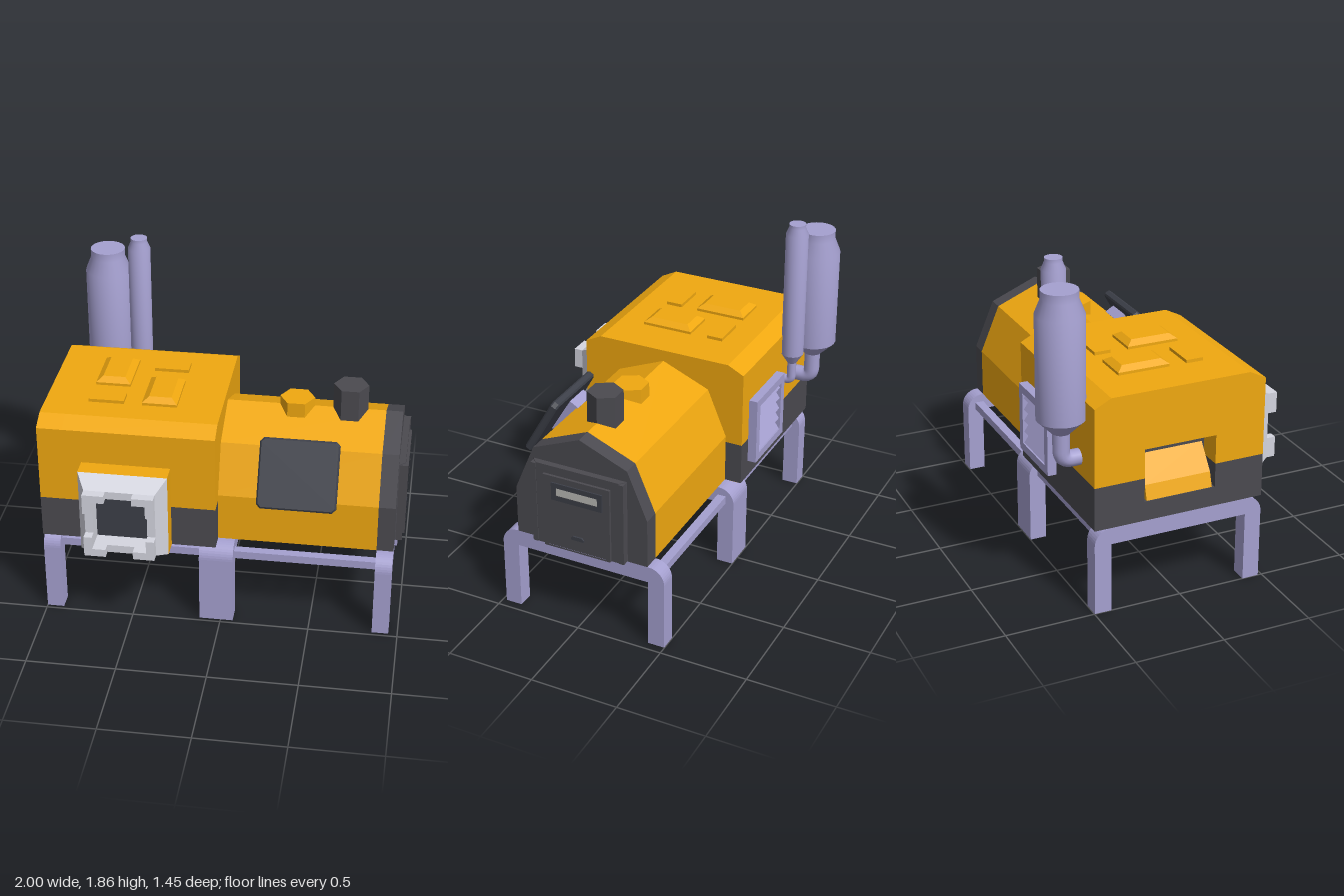
import * as THREE from 'three';
import { toCreasedNormals } from 'three/addons/utils/BufferGeometryUtils.js';

const mat = (color, extra = {}) => new THREE.MeshStandardMaterial({ color, ...extra });
const ZC = -0.01; // centre line of the body

export function createModel() {
  const root = new THREE.Group();
  const orange = mat(0xf0a810, { flatShading: true });
  const dark = mat(0x4b4a50, { flatShading: true });
  const black = mat(0x3c3f48, { flatShading: true });
  const steel = mat(0xa5a0d0, { flatShading: true });
  const steelSmooth = mat(0xa5a0d0);
  const pale = mat(0xd5d6e0, { flatShading: true });

  const add = (name, geo, material, x = 0, y = 0, z = 0, parent = root) => {
    const m = new THREE.Mesh(geo, material);
    m.name = name;
    m.position.set(x, y, z);
    parent.add(m);
    return m;
  };
  // Box given by its limits
  const box = (name, material, x0, x1, y0, y1, z0, z1, parent = root) =>
    add(name, new THREE.BoxGeometry(x1 - x0, y1 - y0, z1 - z0), material,
      (x0 + x1) / 2, (y0 + y1) / 2, (z0 + z1) / 2, parent);
  const shapeOf = (pts) => new THREE.Shape(pts.map(([x, y]) => new THREE.Vector2(x, y)));
  // Shape swept along x
  const sweepShape = (name, material, shape, x0, x1, z) => {
    const g = new THREE.ExtrudeGeometry(shape, { depth: x1 - x0, bevelEnabled: false, curveSegments: 5 });
    g.rotateY(Math.PI / 2);
    return add(name, g, material, x0, 0, z);
  };
  // [z, y] outline swept along x, with an optional hole
  const sweepX = (name, material, pts, x0, x1, z = ZC, hole = null) => {
    const flip = (list) => list.map(([pz, py]) => [-pz, py]);
    const shape = shapeOf(flip(pts));
    if (hole) shape.holes.push(shapeOf(flip(hole)));
    return sweepShape(name, material, shape, x0, x1, z);
  };
  // Box whose top face is scaled
  const taper = (w, h, d, sx, sz) => {
    const g = new THREE.BoxGeometry(w, h, d);
    const p = g.attributes.position;
    for (let i = 0; i < p.count; i++) {
      if (p.getY(i) > 0) { p.setX(i, p.getX(i) * sx); p.setZ(i, p.getZ(i) * sz); }
    }
    g.computeVertexNormals();
    return g;
  };
  const rect = (z, y0, y1) => [[-z, y0], [z, y0], [z, y1], [-z, y1]];

  // Main cabin: dark skirt and orange upper, with a recess cut in the outer end
  const H = 0.488, B = 0.735, R = 0.205;
  const roof = [[H, 1.175], [0.395, 1.222], [-0.395, 1.222], [-H, 1.175], [-H, B]];
  sweepX('cabinSkirt', dark, rect(H, 0.49, B), -0.86, -0.025);
  sweepX('cabinBody', orange, [[H, B], ...roof], -0.86, -0.025);
  sweepX('cabinEndSkirt', dark,
    [[H, 0.49], [H, B], [R, B], [R, 0.6], [-R, 0.6], [-R, B], [-H, B], [-H, 0.49]], -1, -0.86);
  sweepX('cabinEndBody', orange,
    [[H, B], ...roof, [-R, B], [-R, 0.9], [R, 0.9], [R, B]], -1, -0.86);
  box('recessBack', dark, -0.87, -0.858, 0.6, 0.9, ZC - R, ZC + R);
  const ramp = shapeOf([[-0.995, 0.6], [-0.865, 0.6], [-0.865, 0.82], [-0.97, 0.68]]);
  add('recessChute', new THREE.ExtrudeGeometry(ramp, { depth: 2 * R - 0.03, bevelEnabled: false }),
    orange, 0, 0, ZC - R + 0.015);
  box('cabinFloor', orange, -0.99, -0.03, 0.486, 0.492, ZC - 0.47, ZC + 0.47);

  // Roof hatches and plates
  for (const [x, z] of [[-0.6625, -0.107], [-0.3675, 0.088]]) {
    box('roofHatchBase', orange, x - 0.097, x + 0.097, 1.215, 1.237, z - 0.147, z + 0.147);
    add('roofHatch', taper(0.194, 0.025, 0.294, 0.64, 0.76), orange, x, 1.2495, z);
  }
  box('roofPlate', orange, -0.465, -0.27, 1.215, 1.24, -0.255, -0.163);
  box('roofPlate', orange, -0.76, -0.565, 1.215, 1.24, 0.138, 0.235);

  // Gabled wing with a dark end section
  const gable = [[0.39, 0.49], [0.39, 0.77], [0.276, 1.042], [0, 1.157],
    [-0.276, 1.042], [-0.39, 0.77], [-0.39, 0.49]];
  sweepX('wingBody', orange, gable, -0.03, 0.857);
  sweepX('wingEnd', dark, gable, 0.857, 0.95);

  // End door
  const surround = taper(0.49, 0.035, 0.55, 1, 0.885);
  surround.rotateZ(-Math.PI / 2);
  add('doorSurround', surround, dark, 0.9675, 0.735, ZC);
  sweepX('doorFrame', dark, rect(0.197, 0.49, 0.93), 0.98, 1, ZC, rect(0.172, 0.5, 0.906));
  sweepX('door', dark, rect(0.172, 0.5, 0.906), 0.975, 0.988);
  sweepX('doorWindowFrame', black, rect(0.15, 0.782, 0.887), 0.98, 0.996, ZC, rect(0.122, 0.81, 0.858));
  sweepX('doorWindow', mat(0xbcbcb8), rect(0.122, 0.81, 0.858), 0.98, 0.991);
  sweepX('doorHandle', black, [[0.038, 0.565], [0.038, 0.575], [0.025, 0.587], [-0.025, 0.587],
    [-0.038, 0.575], [-0.038, 0.565]], 0.985, 0.998);
  for (const s of [-1, 1]) {
    box('doorPost', dark, 0.95, 0.989, 0.49, 0.975, ZC + s * 0.258 - 0.014, ZC + s * 0.258 + 0.014);
  }

  // Hexagonal roof vents
  for (const [name, m, x, top] of [['roofCap', orange, 0.365, 1.207], ['chimney', dark, 0.66, 1.305]]) {
    const g = new THREE.CylinderGeometry(0.097, 0.097, top - 1.06, 6);
    g.rotateY(Math.PI / 6);
    add(name, g, m, x, (top + 1.06) / 2, ZC);
  }

  // Tilted panel on its bracket
  const w = 0.217, h = 0.193, c = 0.022;
  const outline = shapeOf([[-w + c, -h], [w - c, -h], [w, -h + c], [w, h - c],
    [w - c, h], [-w + c, h], [-w, h - c], [-w, -h + c]]);
  const panelGeo = new THREE.ExtrudeGeometry(outline, {
    depth: 0.026, bevelSize: 0.009, bevelOffset: -0.009, bevelThickness: 0.009, bevelSegments: 1 });
  panelGeo.translate(0, 0, -0.013);
  const panel = add('tiltedPanel', panelGeo, black, 0.417, 0.956, 0.408);
  panel.rotation.x = -0.517;
  sweepX('panelBracket', steel, [[0.3, 1.08], [0.42, 0.88], [0.33, 0.88], [0.25, 1.05]], 0.342, 0.492, 0);

  // Docking port on the front
  const PX = -0.515, PY = 0.735;
  box('portBase', orange, PX - 0.245, PX + 0.245, PY - 0.245, PY + 0.245, 0.4, 0.577);
  const ring = new THREE.LatheGeometry([[0.245, 0.577], [0.193, 0.675], [0.148, 0.675], [0.148, 0.578]]
    .map(([r, y]) => new THREE.Vector2(r * Math.SQRT2, y)), 4, Math.PI / 4);
  ring.rotateX(Math.PI / 2);
  add('portCollar', ring, pale, PX, PY, 0);
  box('portOpening', black, PX - 0.15, PX + 0.15, PY - 0.15, PY + 0.15, 0.57, 0.585);
  const claw = shapeOf([[0.193, 0.193], [0.075, 0.193], [0.075, 0.148], [0.148, 0.148],
    [0.148, 0.075], [0.193, 0.075]]);
  for (let i = 0; i < 4; i++) {
    const m = add('portClaw', new THREE.ExtrudeGeometry(claw, { depth: 0.052, bevelEnabled: false }),
      pale, PX, PY, 0.673);
    m.rotation.z = i * Math.PI / 2;
  }

  // Louvred vent on the back
  const vent = new THREE.Group();
  vent.name = 'rearVent';
  root.add(vent);
  const [vx0, vx1, vy0, vy1, vz0, vz1, t] = [-0.505, -0.115, 0.59, 0.98, -0.548, -0.49, 0.045];
  box('ventFrameTop', steel, vx0, vx1, vy1 - t, vy1, vz0, vz1, vent);
  box('ventFrameBottom', steel, vx0, vx1, vy0, vy0 + t, vz0, vz1, vent);
  box('ventFrameSide', steel, vx0, vx0 + t, vy0 + t, vy1 - t, vz0, vz1, vent);
  box('ventFrameSide', steel, vx1 - t, vx1, vy0 + t, vy1 - t, vz0, vz1, vent);
  box('ventBack', black, vx0 + t, vx1 - t, vy0 + t, vy1 - t, -0.51, -0.49, vent);
  for (let i = 0; i < 5; i++) {
    const slat = add('ventSlat', new THREE.BoxGeometry(0.3, 0.045, 0.012), steel,
      -0.31, 0.652 + i * 0.0665, -0.523, vent);
    slat.rotation.x = 0.6;
  }

  // Exhaust stacks with elbows into the back wall
  const stack = (name, x, z, profile, r, elbowY) => {
    const g = new THREE.LatheGeometry(profile.map((p) => new THREE.Vector2(...p)), 24);
    add(name, toCreasedNormals(g, 0.5), steelSmooth, x, 0, z);
    const path = new THREE.CurvePath();
    const v = (y, pz) => new THREE.Vector3(x, y, pz);
    const bend = 1.2 * r;
    path.add(new THREE.LineCurve3(v(profile[0][1] + 0.03, z), v(elbowY + bend, z)));
    path.add(new THREE.QuadraticBezierCurve3(v(elbowY + bend, z), v(elbowY, z), v(elbowY, z + bend)));
    path.add(new THREE.LineCurve3(v(elbowY, z + bend), v(elbowY, -0.48)));
    add(name + 'Elbow', new THREE.TubeGeometry(path, 24, r, 14), steelSmooth);
  };
  stack('largeStack', -0.805, -0.597, [[0, 0.99], [0.05, 0.99], [0.13, 1.07], [0.13, 1.635],
    [0.098, 1.715], [0.098, 1.765], [0, 1.765]], 0.045, 0.833);
  stack('smallStack', -0.612, -0.547, [[0, 1], [0.026, 1], [0.064, 1.06], [0.064, 1.8],
    [0.047, 1.84], [0.047, 1.862], [0, 1.862]], 0.026, 0.885);

  // Arched leg frames joined by rails
  const a = 0.09, inner = H - 0.095;
  const arch = shapeOf([[-H, 0], [-inner, 0], [-inner, 0.395], [inner, 0.395], [inner, 0],
    [H, 0], [H, 0.49 - a]]);
  arch.absarc(H - a, 0.49 - a, a, 0, Math.PI / 2);
  arch.absarc(-H + a, 0.49 - a, a, Math.PI / 2, Math.PI);
  for (const [x0, x1] of [[-1, -0.905], [-0.12, 0.07], [0.857, 0.95]]) {
    sweepShape('legFrame', steel, arch, x0, x1, ZC);
  }
  for (const s of [-1, 1]) {
    const z = ZC + s * 0.415;
    box('sideRail', steel, -0.95, 0.9, 0.396, 0.442, z - 0.025, z + 0.025);
  }
  return root;
}
